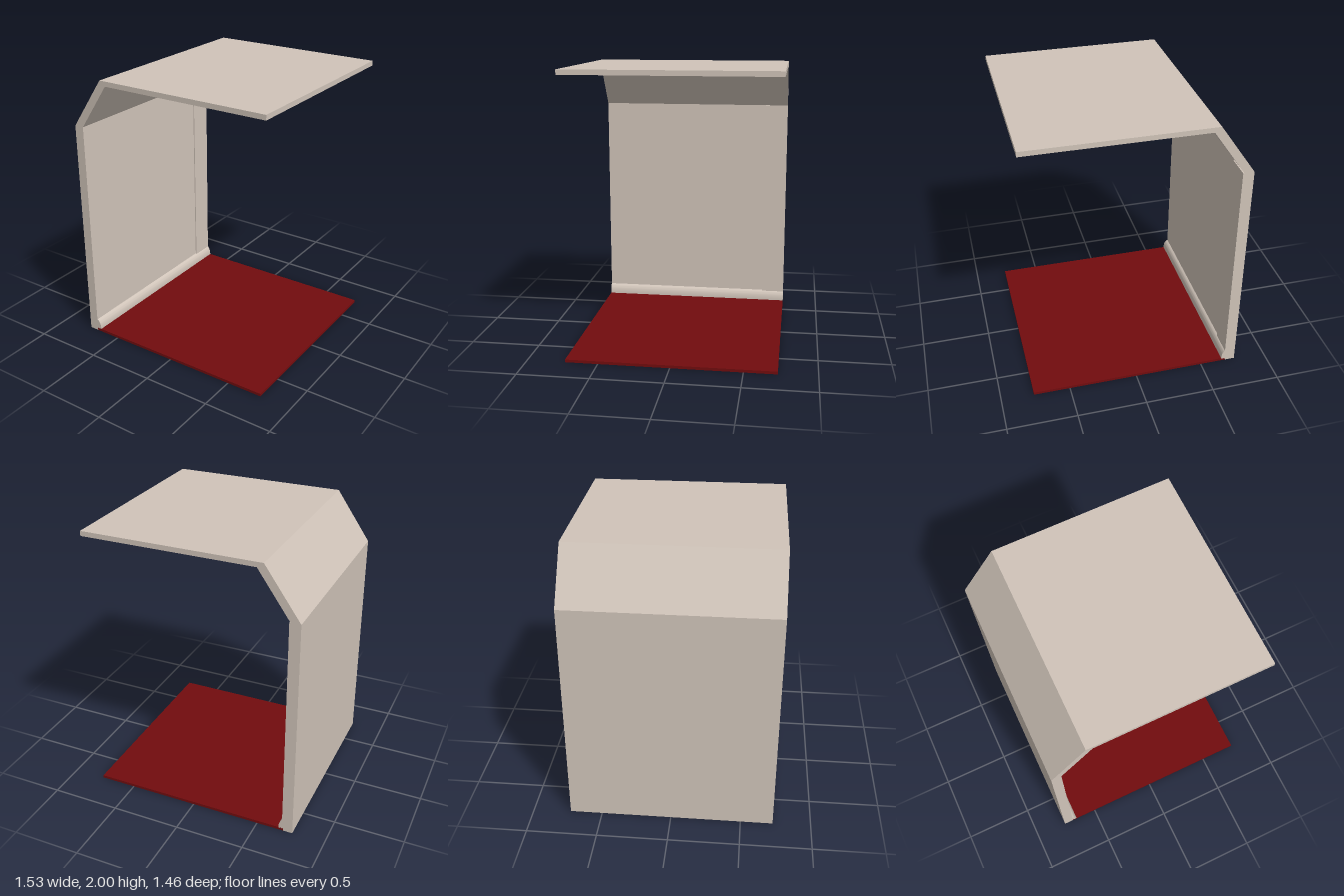
import * as THREE from 'three';
import { toCreasedNormals } from 'three/addons/utils/BufferGeometryUtils.js';

const DEPTH = 1.46;

export function createModel() {
  const model = new THREE.Group();
  model.name = 'roomSection';
  const plaster = new THREE.MeshStandardMaterial({ color: 0xd0c4b9 });
  plaster.name = 'warm plaster';
  const carpet = new THREE.MeshStandardMaterial({ color: 0x720c0e });
  carpet.name = 'dark red carpet';

  function add(name, geometry, material) {
    const mesh = new THREE.Mesh(geometry, material);
    mesh.name = name;
    model.add(mesh);
    return mesh;
  }

  // Extrudes an x-y profile through the full depth, centred on z = 0
  function extrude(shape) {
    const g = new THREE.ExtrudeGeometry(shape, { depth: DEPTH, bevelEnabled: false, curveSegments: 8 });
    g.translate(0, 0, -DEPTH / 2);
    return toCreasedNormals(g, 0.5);
  }

  // Wall, sloped cove and ceiling as one bent shell
  const shell = new THREE.Shape([
    [-0.765, 0], [-0.695, 0], [-0.695, 1.64], [-0.47, 1.965],
    [0.765, 1.965], [0.765, 2], [-0.515, 2], [-0.765, 1.64],
  ].map(([x, y]) => new THREE.Vector2(x, y)));
  add('wallAndCeiling', extrude(shell), plaster);

  // Rounded skirting along the foot of the wall
  const skirting = new THREE.Shape();
  skirting.moveTo(-0.696, 0.015);
  skirting.lineTo(-0.662, 0.015);
  skirting.lineTo(-0.662, 0.03);
  skirting.bezierCurveTo(-0.664, 0.065, -0.675, 0.083, -0.688, 0.09);
  skirting.lineTo(-0.696, 0.095);
  add('skirting', extrude(skirting), plaster);

  // Shallow pilaster at the rear end of the wall
  const pilaster = new THREE.BoxGeometry(0.01, 1.63, 0.175);
  add('pilaster', pilaster, plaster).position.set(-0.692, 0.825, -0.6425);

  // Floor slab: carpet on top and edges, plain underside
  const floor = new THREE.BoxGeometry(1.46, 0.02, DEPTH);
  add('floor', floor, [carpet, carpet, carpet, plaster, carpet, carpet]).position.set(0.035, 0.01, 0);

  return model;
}
